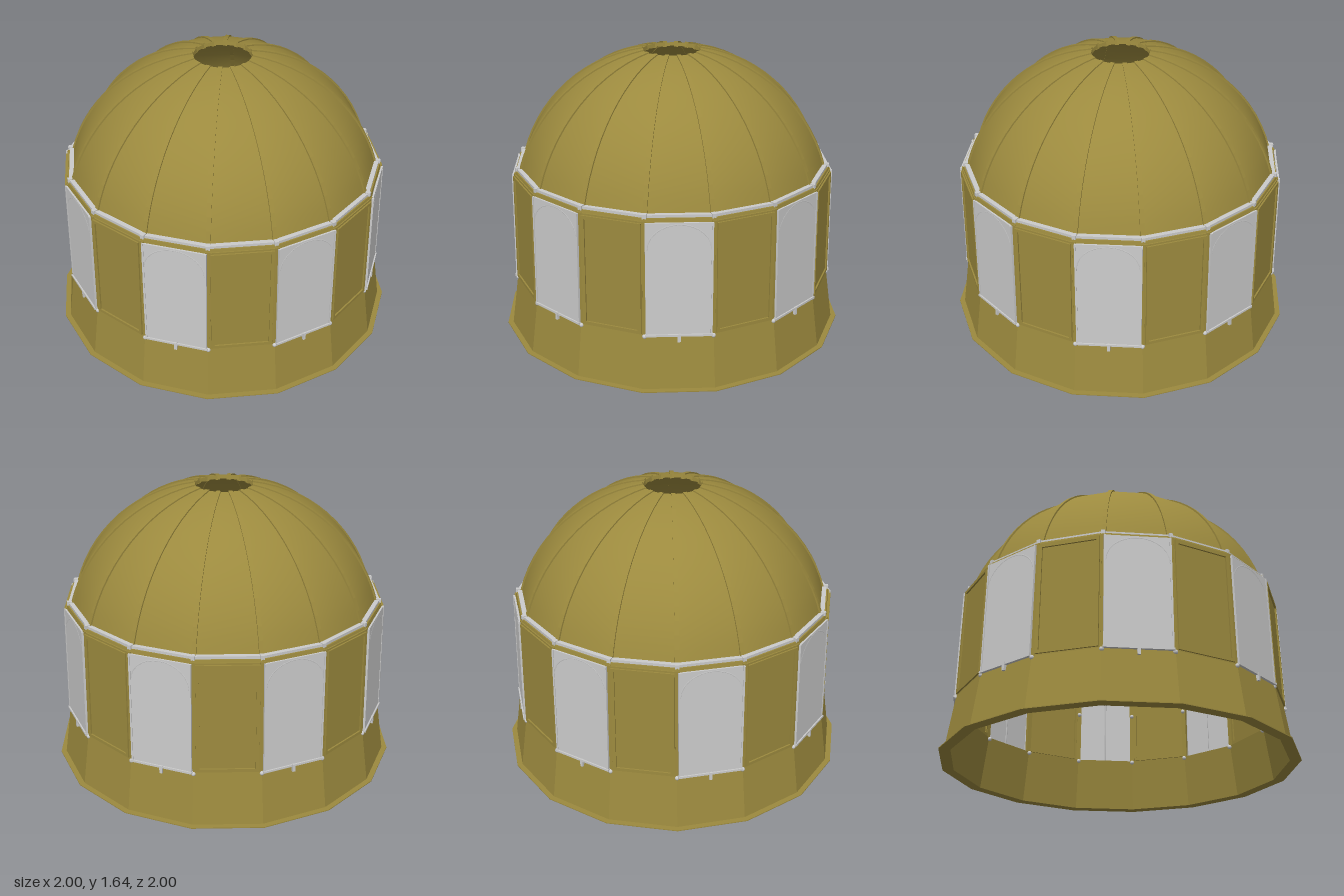
import * as THREE from 'three';

const SIDES = 16, STEP = Math.PI * 2 / SIDES, TURN = -0.02;
const olive = new THREE.MeshStandardMaterial({ color: 0x9c8a3e, side: THREE.DoubleSide });
const grey = new THREE.MeshStandardMaterial({ color: 0xcccccc, side: THREE.DoubleSide });

function add(parent, name, geometry, material, x = 0, y = 0, z = 0) {
  const mesh = new THREE.Mesh(geometry, material);
  mesh.name = name;
  mesh.position.set(x, y, z);
  parent.add(mesh);
  return mesh;
}

// Sixteen-sided ring from a radius/height profile
function ring(points, flat = true) {
  const profile = points.map(([r, y]) => new THREE.Vector2(r, y));
  let g = new THREE.LatheGeometry(profile, SIDES, TURN + STEP / 2, Math.PI * 2);
  if (flat) {
    g = g.toNonIndexed();
    g.computeVertexNormals();
  }
  return g;
}

// Dome arc, from springing to the open eye
function domeArc(offset) {
  const R = 0.925 + offset, points = [];
  const a0 = Math.asin(0.26 / 0.925), a1 = Math.asin(0.91 / 0.925);
  for (let i = 0; i <= 14; i++) {
    const a = a0 + (a1 - a0) * i / 14;
    points.push([R * Math.cos(a), 0.72 + R * Math.sin(a)]);
  }
  return points;
}

// Thin bar swept through points on the window plane
function bar(points, radius = 0.007) {
  const curve = new THREE.CatmullRomCurve3(points.map(([x, y]) => new THREE.Vector3(x, y, 0)));
  return new THREE.TubeGeometry(curve, 14, radius, 6);
}

// Group set on the middle of one wall face, with +z outward
function bay(parent, name, index) {
  const turn = new THREE.Group();
  turn.name = name;
  turn.rotation.y = TURN + index * STEP;
  const face = new THREE.Group();
  face.name = name + 'Face';
  face.position.set(0, 0.63, 0.908);
  face.rotation.x = -0.016;
  turn.add(face);
  parent.add(turn);
  return face;
}

function buildWindow(face) {
  add(face, 'pane', new THREE.BoxGeometry(0.35, 0.64, 0.01), grey, 0, 0, 0.012);
  const tracery = new THREE.Group();
  tracery.name = 'tracery';
  tracery.position.z = 0.01;
  face.add(tracery);
  const arch = [];
  for (let i = 0; i <= 10; i++) {
    const a = Math.PI * i / 10;
    arch.push([0.168 * Math.cos(a), 0.17 + 0.14 * Math.sin(a)]);
  }
  add(tracery, 'arch', bar(arch, 0.009), grey);
  add(tracery, 'rosette', new THREE.TorusGeometry(0.033, 0.007, 6, 18), grey, 0, 0.11);
  add(tracery, 'mullion', bar([[0, -0.31], [0, -0.1], [0, 0.077]]), grey);
  add(tracery, 'upperMullion', bar([[0, 0.143], [0, 0.22], [0, 0.31]]), grey);
  for (const s of [-1, 1]) {
    add(tracery, 'upperPetal', bar([[s * 0.023, 0.134], [s * 0.06, 0.21], [s * 0.13, 0.262]]), grey);
    add(tracery, 'lowerPetal', bar([[s * 0.033, 0.115], [s * 0.09, 0.15], [s * 0.168, 0.15]]), grey);
    add(face, 'sideFrame', new THREE.BoxGeometry(0.01, 0.64, 0.025), grey, s * 0.172, 0, 0.008);
  }
  add(face, 'sill', new THREE.BoxGeometry(0.36, 0.012, 0.03), grey, 0, -0.32, 0.01);
  add(face, 'catch', new THREE.BoxGeometry(0.016, 0.045, 0.025), grey, 0, -0.335, 0.015);
}

function buildPanel(face) {
  add(face, 'panel', new THREE.BoxGeometry(0.35, 0.65, 0.018), olive);
  for (const s of [-1, 1]) {
    add(face, 'panelStile', new THREE.BoxGeometry(0.018, 0.63, 0.036), olive, s * 0.158, 0, 0);
    add(face, 'panelRail', new THREE.BoxGeometry(0.334, 0.018, 0.036), olive, 0, s * 0.306, 0);
  }
}

export function createModel() {
  const model = new THREE.Group();
  model.name = 'domedPavilion';

  // Flared base with a thin foot
  add(model, 'skirt', ring([[0.985, 0], [0.94, 0.31], [0.905, 0.31], [0.95, 0], [0.985, 0]]), olive);
  add(model, 'foot', ring([[0.95, 0], [1.015, 0], [1.015, 0.005], [0.95, 0.005], [0.95, 0]]), olive);

  // Wall head, eaves ring and ceiling ledge
  add(model, 'wallHead', ring([[0.9, 0.945], [0.925, 0.945], [0.92, 0.97], [0.9, 0.97], [0.9, 0.945]]), olive);
  add(model, 'eavesRing', ring([[0.88, 0.968], [0.912, 0.968], [0.912, 0.985], [0.88, 0.985], [0.88, 0.968]]), grey);
  add(model, 'ceilingLedge', ring([[0.65, 0.968], [0.9, 0.968]]), grey);

  // Dome shells and the lip of the open eye
  const outer = domeArc(0), inner = domeArc(-0.02);
  add(model, 'domeOuter', ring(outer, false), olive);
  add(model, 'domeInner', ring([...inner].reverse(), false), olive);
  add(model, 'eyeLip', ring([outer.at(-1), inner.at(-1)]), olive);

  // Ribs follow the dome along its corners
  const band = [...domeArc(0.007), ...domeArc(-0.026).reverse()];
  const ribShape = new THREE.Shape(band.map(([r, y]) => new THREE.Vector2(r, y)));
  const ribGeometry = new THREE.ExtrudeGeometry(ribShape, { depth: 0.024, bevelEnabled: false });
  ribGeometry.translate(0, 0, -0.012);

  const ball = new THREE.SphereGeometry(0.013, 10, 8);
  for (let i = 0; i < SIDES; i++) {
    const corner = new THREE.Group();
    corner.name = 'corner';
    corner.rotation.y = TURN + (i + 0.5) * STEP;
    model.add(corner);
    add(corner, 'rib', ribGeometry, olive).rotation.y = -Math.PI / 2;
    const post = add(corner, 'post', new THREE.BoxGeometry(0.028, 0.65, 0.03), olive, 0, 0.632, 0.918);
    post.rotation.x = -0.016;
    for (const y of [0.3, 0.62, 0.94]) add(corner, 'innerStud', ball, grey, 0, y, 0.9);
    add(corner, 'outerStud', ball, grey, 0, 0.3, 0.938);
    add(corner, 'eavesClip', new THREE.BoxGeometry(0.022, 0.024, 0.03), grey, 0, 0.978, 0.905);

    // Windows and solid panels alternate around the wall
    if (i % 2 === 0) buildWindow(bay(model, 'window', i));
    else buildPanel(bay(model, 'wallPanel', i));
  }
  return model;
}
